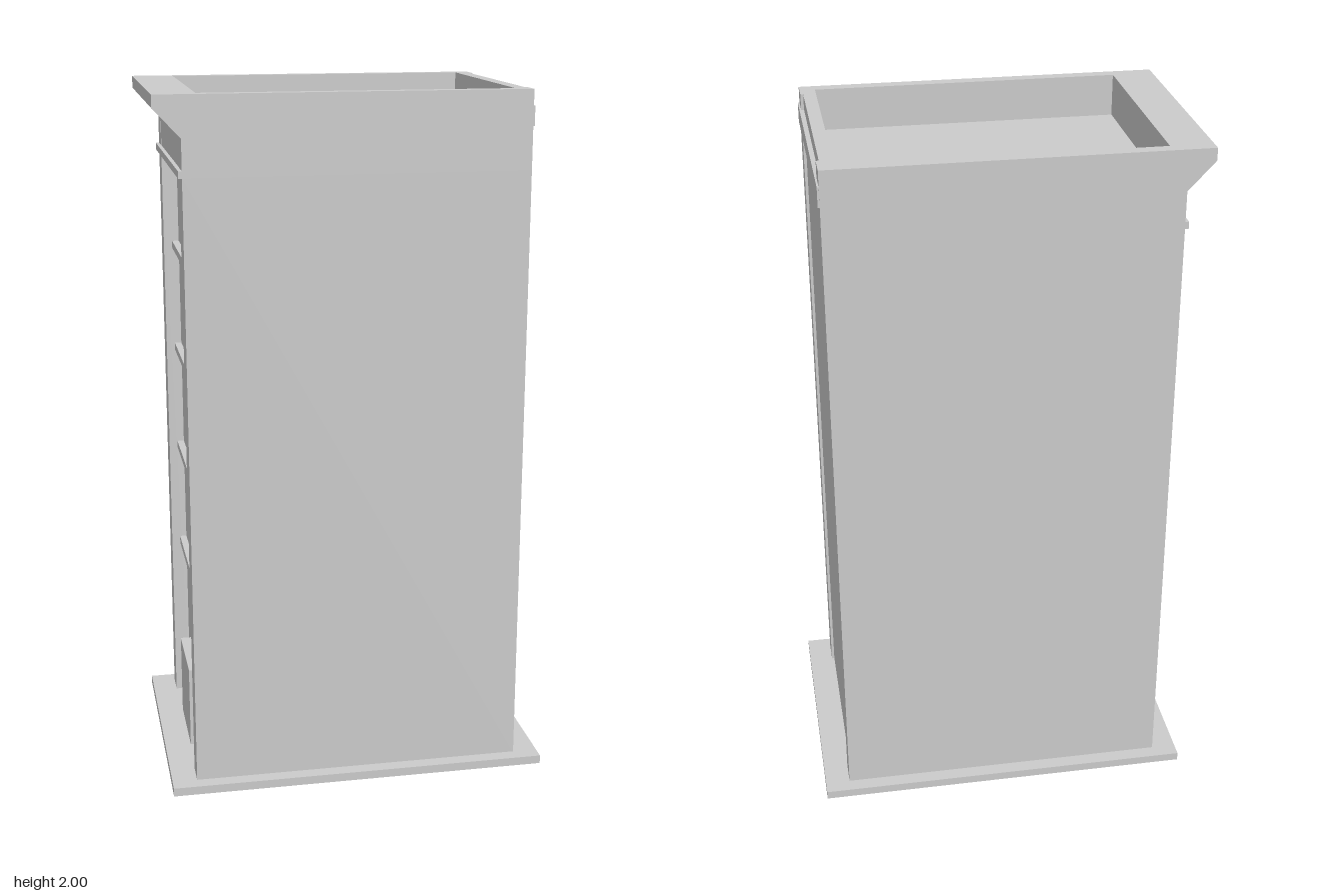
import * as THREE from 'three';

const W = 0.48, D = 0.353, BAY = 0.28; // half width, half depth, half width of the end bays

export function createModel() {
  const model = new THREE.Group();
  const material = new THREE.MeshStandardMaterial({ color: 0xcccccc, flatShading: true });

  const add = (name, geometry) => {
    const mesh = new THREE.Mesh(geometry, material);
    mesh.name = name;
    model.add(mesh);
    return mesh;
  };
  const box = (name, x0, x1, y0, y1, z0, z1) =>
    add(name, new THREE.BoxGeometry(x1 - x0, y1 - y0, z1 - z0))
      .position.set((x0 + x1) / 2, (y0 + y1) / 2, (z0 + z1) / 2);

  const outline = (points) => new THREE.Shape(points.map(([x, z]) => new THREE.Vector2(x, z)));
  const rect = (w, d) => outline([[-w, -d], [w, -d], [w, d], [-w, d]]);

  // Floor plan with a recessed bay at each end, between corner piers
  const plan = (left, right) => outline([
    [-W, -D], [W, -D], [W, -BAY], [right, -BAY], [right, BAY], [W, BAY],
    [W, D], [-W, D], [-W, BAY], [left, BAY], [left, -BAY], [-W, -BAY],
  ]);
  // Raise a plan from y0 to y1
  const raise = (shape, y0, y1) =>
    new THREE.ExtrudeGeometry(shape, { depth: y1 - y0, bevelEnabled: false })
      .rotateX(-Math.PI / 2).translate(0, y0, 0);

  const facade = -0.435, rear = 0.472;

  // Pavement slab, open under the building
  const slab = rect(0.552, 0.394);
  slab.holes.push(plan(facade, rear));
  add('baseSlab', raise(slab, 0, 0.025));

  // Main walls, then the solid storey above the facade bay
  add('walls', raise(plan(facade, rear), 0.018, 1.78));
  add('upperWalls', raise(plan(-W + 0.001, rear), 1.78, 1.88));

  // Parapet around the sunken roof
  const parapet = plan(-W + 0.001, rear);
  parapet.holes.push(rect(0.436, 0.318));
  add('parapet', raise(parapet, 1.88, 2));

  // Sloped cornice and moulding over the facade
  const cornice = outline([[-W, 1.885], [-0.46, 1.885], [-0.46, 2], [-0.555, 2], [-0.555, 1.965]]);
  add('cornice', new THREE.ExtrudeGeometry(cornice, { depth: 2 * D, bevelEnabled: false }).translate(0, 0, -D));
  box('moulding', -0.49, -0.46, 1.78, 1.8, -D, D);

  // Storey ledges and the entrance block in the facade bay
  for (let i = 0; i < 4; i++) {
    const y = 0.545 + i * 0.318;
    box('ledge' + (i + 1), -0.455, facade + 0.01, y - 0.011, y + 0.011, -BAY, BAY);
  }
  box('entranceBlock', -0.475, facade + 0.01, 0.025, 0.27, -0.125, 0.125);

  // Band across the opposite end
  box('rearBand', 0.46, 0.485, 1.9, 1.955, -0.35, 0.35);

  return model;
}
